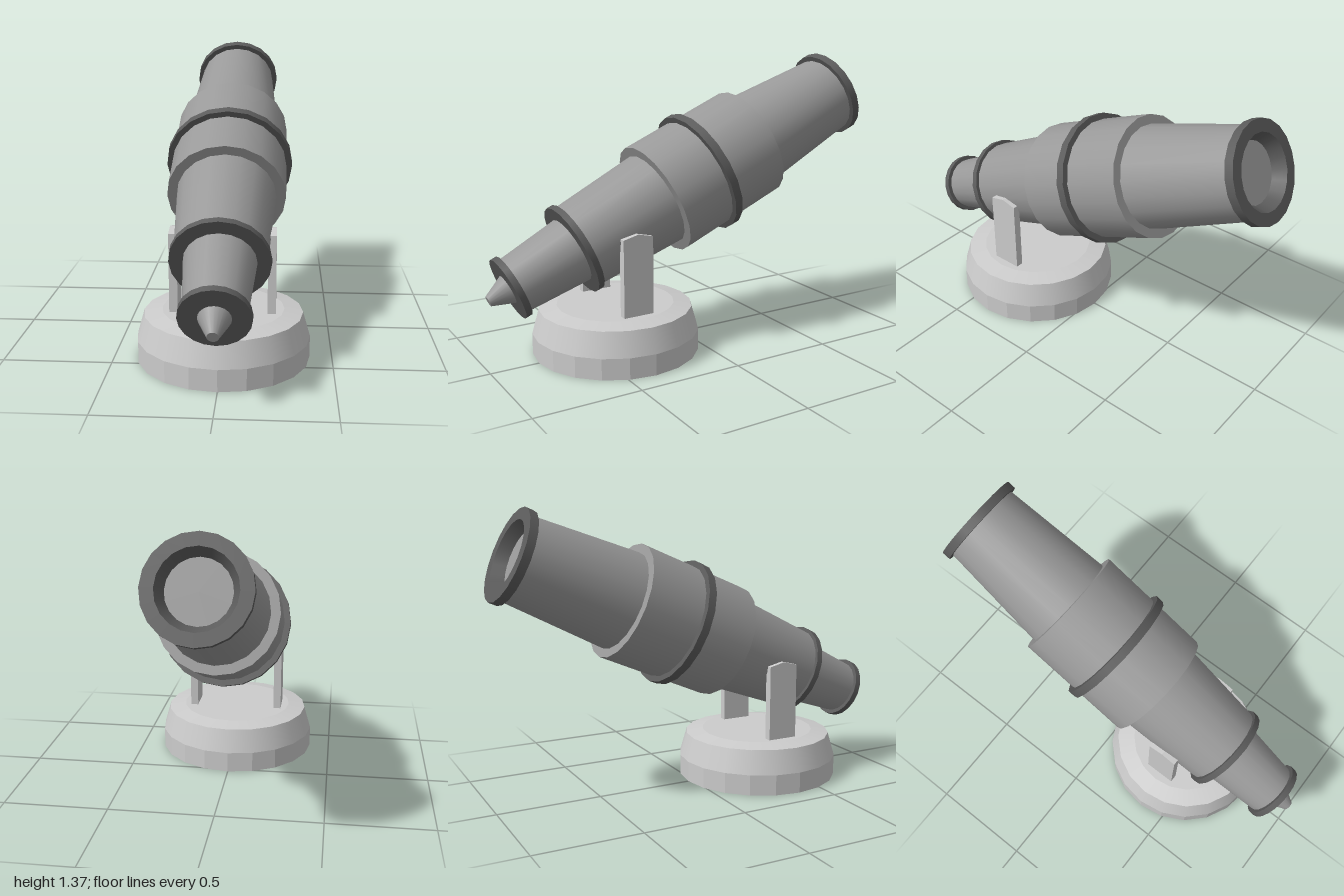
import * as THREE from 'three';
import { mergeGeometries } from 'three/addons/utils/BufferGeometryUtils.js';

const SIDES = 20;
const material = (color, extra = {}) => new THREE.MeshStandardMaterial({ color, side: THREE.DoubleSide, ...extra });

// Revolves a [radius, height] profile: round sides smooth, every profile corner sharp
function revolve(profile) {
  const strips = [];
  for (let i = 0; i + 1 < profile.length; i++) {
    const pair = [profile[i], profile[i + 1]].map(([r, y]) => new THREE.Vector2(r, y));
    strips.push(new THREE.LatheGeometry(pair, SIDES));
  }
  return mergeGeometries(strips);
}

export function createModel() {
  const model = new THREE.Group();
  const stone = material(0xcccccc);
  const facetedStone = material(0xcccccc, { flatShading: true });
  const metal = material(0x999999);
  const darkMetal = material(0x5c5c5c);

  const add = (parent, name, geometry, mat) => {
    const mesh = new THREE.Mesh(geometry, mat);
    mesh.name = name;
    parent.add(mesh);
    return mesh;
  };

  // Hollow pedestal: faceted foot, smooth tapered shoulder, recessed underside
  const base = new THREE.Group();
  base.name = 'base';
  base.position.z = 0.37;
  model.add(base);
  add(base, 'baseFoot', revolve([[0.398, 0], [0.398, 0.1]]), facetedStone);
  add(base, 'baseTop', revolve([[0.398, 0.1], [0.365, 0.215], [0.28, 0.23], [0, 0.23]]), stone);
  add(base, 'baseUnderside', revolve([[0, 0.11], [0.395, 0.11]]), stone);

  // Upright supports with a shallow pointed top
  const outline = new THREE.Shape([
    [-0.075, 0.1], [0.075, 0.1], [0.075, 0.595], [0, 0.613], [-0.075, 0.595],
  ].map(([x, y]) => new THREE.Vector2(x, y)));
  const supportGeometry = new THREE.ExtrudeGeometry(outline, { depth: 0.038, bevelEnabled: false });
  supportGeometry.translate(0, 0, -0.019).rotateY(Math.PI / 2);
  for (const [name, side] of [['leftSupport', 1], ['rightSupport', -1]]) {
    add(base, name, supportGeometry, stone).position.x = side * 0.222;
  }

  // Barrel assembly: local y runs from the breech ring to the muzzle
  const barrel = new THREE.Group();
  barrel.name = 'barrelAssembly';
  barrel.position.set(0, 0.386, 0.887);
  barrel.rotation.x = -THREE.MathUtils.degToRad(90 - 23.4);
  model.add(barrel);

  add(barrel, 'breechKnob', revolve([[0, -0.115], [0.025, -0.115], [0.07, -0.015]]), metal);
  add(barrel, 'barrel', revolve([
    [0.132, 0], [0.162, 0.338], [0.205, 0.338], [0.235, 0.8],
    [0.281, 0.8], [0.281, 1.381], [0.238, 1.381], [0.197, 1.93],
  ]), metal);

  // Raised bands
  const bands = [
    ['breechBand', 0.153, 0, 0.03],
    ['rearBand', 0.223, 0.338, 0.03],
    ['middleBand', 0.309, 1.075, 0.04],
  ];
  for (const [name, radius, y, height] of bands) {
    add(barrel, name, new THREE.CylinderGeometry(radius, radius, height, SIDES), darkMetal).position.y = y;
  }

  // Muzzle rim with a shallow tapered bore
  add(barrel, 'muzzleRim', revolve([
    [0.19, 1.917], [0.222, 1.917], [0.222, 1.957], [0.165, 1.957], [0.135, 1.9],
  ]), darkMetal);
  add(barrel, 'boreEnd', revolve([[0.135, 1.9], [0, 1.9]]), metal);

  return model;
}
